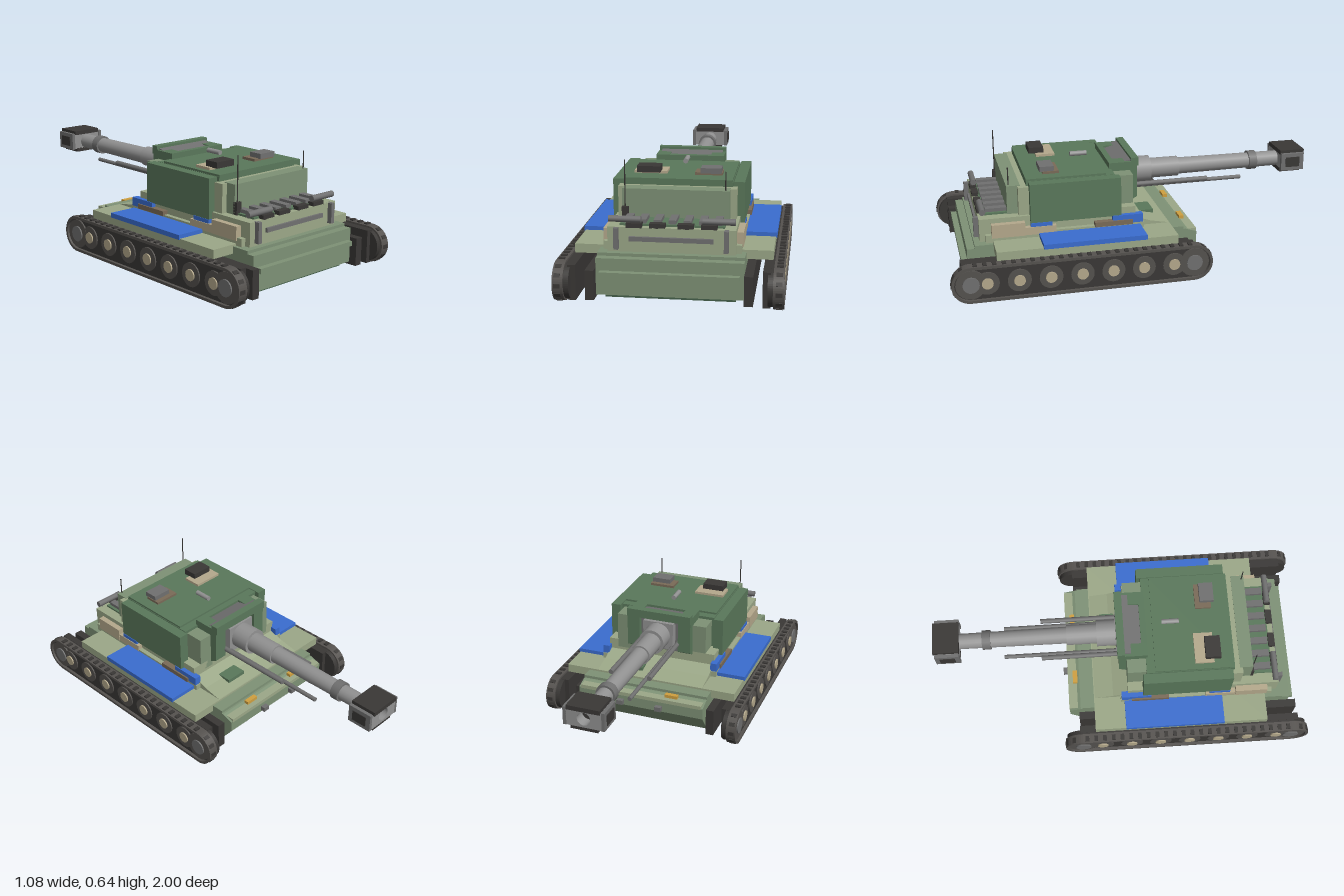
import * as THREE from 'three';

const mat = (color, extra = {}) => new THREE.MeshStandardMaterial({ color, ...extra });
const DARK_GREEN = mat(0x5a785b), GREEN = mat(0x7e9276), LIGHT = mat(0x9ca888), BELLY = mat(0x45604a);
const GREY = mat(0x707070), STEEL = mat(0x929292), BLACK = mat(0x3a3836), RUBBER = mat(0x55524f);
const BLUE = mat(0x3a6dd0), TAN = mat(0xb5a98c), BROWN = mat(0x7a6b58), AMBER = mat(0xd0a040);

export function createModel() {
  const root = new THREE.Group();
  root.name = 'selfPropelledGun';

  const add = (name, geo, m, parent = root) => {
    const mesh = new THREE.Mesh(geo, m);
    mesh.name = name;
    parent.add(mesh);
    return mesh;
  };
  // Box given by its limits on each axis
  const box = (name, m, x0, x1, y0, y1, z0, z1, parent = root) => {
    const b = add(name, new THREE.BoxGeometry(x1 - x0, y1 - y0, z1 - z0), m, parent);
    b.position.set((x0 + x1) / 2, (y0 + y1) / 2, (z0 + z1) / 2);
    return b;
  };
  // The same box on both sides
  const pair = (name, m, x0, x1, ...rest) => {
    box(name, m, x0, x1, ...rest);
    box(name, m, -x1, -x0, ...rest);
  };
  // Cylinder along z
  const rod = (name, m, r, x, y, z0, z1, r2 = r, seg = 20) => {
    const g = new THREE.CylinderGeometry(r, r2, z1 - z0, seg).rotateX(Math.PI / 2);
    const c = add(name, g, m);
    c.position.set(x, y, (z0 + z1) / 2);
    return c;
  };
  // Side profile of [z, y] points, extruded across x
  const slab = (name, m, pts, x0, x1) => {
    const s = new THREE.Shape(pts.map(([z, y]) => new THREE.Vector2(-z, y)));
    const g = new THREE.ExtrudeGeometry(s, { depth: x1 - x0, bevelEnabled: false });
    g.rotateY(Math.PI / 2).translate(x0, 0, 0);
    return add(name, g, m);
  };

  // ---- Hull ----
  slab('hull', GREEN, [[0.9, 0.03], [0.9, 0.21], [-0.24, 0.21], [-0.3, 0.19], [-0.3, 0.13], [-0.22, 0.03]], -0.35, 0.35);
  box('bellyPlate', BELLY, -0.31, 0.31, 0.01, 0.03, -0.18, 0.87);
  box('rearLedge', GREEN, -0.33, 0.33, 0.125, 0.15, 0.88, 0.93);
  box('noseStrip', LIGHT, -0.34, 0.34, 0.185, 0.205, -0.302, -0.245);
  box('hullDeck', GREEN, -0.35, 0.35, 0.2, 0.225, -0.23, 0.86);
  box('fenderDeck', LIGHT, -0.478, 0.478, 0.19, 0.235, -0.165, 0.765);
  pair('bluePanel', BLUE, 0.33, 0.485, 0.23, 0.255, 0, 0.53);
  slab('glacis', LIGHT, [[-0.16, 0.235], [0.02, 0.235], [0.02, 0.285], [-0.06, 0.255]], -0.3, 0.3);
  box('driverHatch', DARK_GREEN, 0.06, 0.175, 0.245, 0.265, -0.11, -0.02);
  pair('headlight', AMBER, 0.13, 0.2, 0.2, 0.222, -0.275, -0.25);
  pair('towHook', GREY, 0.09, 0.125, 0.14, 0.165, -0.325, -0.29);

  // ---- Superstructure ----
  box('superstructure', LIGHT, -0.305, 0.305, 0.21, 0.345, 0.02, 0.83);
  pair('sideStep', LIGHT, 0.3, 0.33, 0.21, 0.265, -0.02, 0.8);
  pair('sideBin', TAN, 0.3, 0.336, 0.25, 0.32, 0.6, 0.77);
  pair('sideBin', TAN, 0.3, 0.332, 0.25, 0.29, 0.44, 0.6);
  pair('sideBox', BROWN, 0.3, 0.338, 0.26, 0.285, 0.04, 0.24);
  pair('blueBin', BLUE, 0.295, 0.33, 0.265, 0.31, -0.015, 0.145);
  pair('blueBin', BLUE, 0.295, 0.328, 0.29, 0.31, 0.46, 0.57);

  // ---- Rear plate, engine grille and stowage ----
  box('rearBar', GREY, -0.2, 0.2, 0.28, 0.302, 0.825, 0.842);
  pair('rearPost', GREY, 0.25, 0.272, 0.24, 0.345, 0.82, 0.855);
  box('grilleBase', DARK_GREEN, -0.25, 0.25, 0.345, 0.355, 0.67, 0.8);
  for (let i = 0; i < 7; i++) {
    const x = -0.216 + i * 0.072;
    box('grilleSlat', GREY, x - 0.018, x + 0.018, 0.35, 0.373, 0.67, 0.79);
  }
  for (const x of [-0.178, -0.067, 0.067, 0.178])
    box('rearBlock', BLACK, x - 0.038, x + 0.038, 0.342, 0.365, 0.795, 0.83);
  for (const s of [-1, 1]) {
    const pipe = add('exhaustPipe', new THREE.CylinderGeometry(0.016, 0.016, 0.155, 12).rotateZ(Math.PI / 2), GREY);
    pipe.position.set(s * 0.224, 0.38, 0.81);
  }
  box('antennaBase', BLACK, -0.26, -0.228, 0.345, 0.408, 0.67, 0.695);

  // ---- Turret ----
  box('turretBody', DARK_GREEN, -0.268, 0.268, 0.3, 0.515, 0.12, 0.58);
  pair('sideArmor', DARK_GREEN, 0.272, 0.325, 0.308, 0.515, 0.1, 0.57);
  box('rearFrame', LIGHT, -0.29, 0.29, 0.265, 0.492, 0.56, 0.625);
  box('rearBustle', GREEN, -0.26, 0.26, 0.34, 0.495, 0.61, 0.68);
  box('roofPlate', DARK_GREEN, -0.265, 0.265, 0.51, 0.525, 0.165, 0.58);
  pair('frontShoulder', GREEN, 0.17, 0.255, 0.3, 0.5, 0.02, 0.17);
  for (const s of [0.11, -0.18])
    slab('frontCheek', DARK_GREEN, [[-0.02, 0.35], [0.04, 0.315], [0.13, 0.315], [0.13, 0.545], [-0.02, 0.545]], s, s + 0.07);
  box('frontCap', DARK_GREEN, -0.18, 0.18, 0.52, 0.565, -0.028, 0.012);
  box('capRear', DARK_GREEN, -0.18, 0.18, 0.515, 0.545, 0.1, 0.13);
  slab('capPanel', GREY, [[0, 0.5], [0.11, 0.5], [0.11, 0.53], [0, 0.555]], -0.165, 0.165);
  box('mantletPlate', GREY, -0.115, 0.115, 0.335, 0.525, 0.01, 0.13);
  box('mantletBlock', STEEL, -0.085, 0.085, 0.36, 0.51, -0.03, 0.02);

  // ---- Roof fittings ----
  box('hatchBase', TAN, -0.235, -0.07, 0.52, 0.538, 0.375, 0.475);
  box('hatchCover', BLACK, -0.217, -0.1, 0.536, 0.568, 0.43, 0.51);
  box('sightBase', BROWN, 0.07, 0.207, 0.52, 0.538, 0.4, 0.485);
  box('sightHead', GREY, 0.1, 0.203, 0.536, 0.563, 0.425, 0.5);
  rod('roofPeriscope', STEEL, 0.013, 0, 0.553, 0.215, 0.305, 0.013, 12);
  for (const [x, z, y0, y1] of [[-0.245, 0.683, 0.4, 0.637], [0.24, 0.667, 0.48, 0.587]]) {
    const a = add('antenna', new THREE.CylinderGeometry(0.003, 0.003, y1 - y0, 6), BLACK);
    a.position.set(x, (y0 + y1) / 2, z);
  }

  // ---- Gun ----
  const gy = 0.437;
  rod('gunSleeve', STEEL, 0.07, 0, gy, -0.13, 0);
  rod('gunJacket', STEEL, 0.054, 0, gy, -0.29, -0.12);
  rod('gunBarrel', STEEL, 0.045, 0, gy, -0.87, -0.28, 0.041);
  rod('barrelCollar', GREY, 0.052, 0, gy, -0.74, -0.695);
  for (const s of [-1, 1]) {
    rod('recoilCylinder', GREY, 0.011, s * 0.08, 0.373, -0.63, 0.02, 0.011, 10);
    rod('recoilCylinder', GREY, 0.013, s * 0.105, 0.39, -0.43, 0.02, 0.013, 10);
  }
  // Muzzle brake with an open bore
  const face = new THREE.Shape([[-0.09, -0.045], [0.09, -0.045], [0.09, 0.045], [-0.09, 0.045]].map(p => new THREE.Vector2(...p)));
  face.holes.push(new THREE.Path().absarc(0, 0, 0.034, 0, Math.PI * 2, true));
  const brake = add('muzzleBrake', new THREE.ExtrudeGeometry(face, { depth: 0.125, bevelEnabled: false, curveSegments: 16 }), STEEL);
  brake.position.set(0, gy + 0.005, -0.99);
  rod('bore', BLACK, 0.036, 0, gy + 0.005, -0.93, -0.87);
  box('muzzleTop', BLACK, -0.085, 0.085, 0.482, 0.505, -0.998, -0.86);
  box('muzzleBottom', BLACK, -0.07, 0.07, 0.378, 0.4, -0.985, -0.865);
  pair('muzzleSide', GREY, 0.088, 0.106, 0.395, 0.49, -0.99, -0.86);
  pair('muzzleVent', BLACK, 0.1, 0.11, 0.415, 0.47, -0.965, -0.885);

  // ---- Tracks ----
  const zA = -0.237, zB = 0.902, cy = 0.098;
  const stadium = (r, Type = THREE.Shape) => {
    const p = new Type();
    p.absarc(zB, 0, r, -Math.PI / 2, Math.PI / 2, false);
    p.absarc(zA, 0, r, Math.PI / 2, Math.PI * 1.5, false);
    p.closePath();
    return p;
  };
  // Stadium slab (or ring) between two x limits
  const loop = (name, m, r, x0, x1, parent, inner) => {
    const s = stadium(r);
    if (inner) s.holes.push(stadium(inner, THREE.Path));
    const g = new THREE.ExtrudeGeometry(s, { depth: x1 - x0, bevelEnabled: false, curveSegments: 14 });
    g.rotateY(-Math.PI / 2).translate(x1, cy, 0);
    return add(name, g, m, parent);
  };
  const disc = (name, m, r, x0, x1, z, parent) => {
    const g = new THREE.CylinderGeometry(r, r, x1 - x0, 20).rotateZ(Math.PI / 2);
    add(name, g, m, parent).position.set((x0 + x1) / 2, cy, z);
  };
  for (const s of [-1, 1]) {
    const track = new THREE.Group();
    track.name = s > 0 ? 'leftTrack' : 'rightTrack';
    root.add(track);
    const o = s > 0 ? 0 : 1; // offsets mirrored through helper below
    const X = (a, b) => (o ? [-b, -a] : [a, b]);
    loop('trackBelt', RUBBER, 0.096, ...X(0.487, 0.538), track, 0.082);
    loop('trackCore', BLACK, 0.086, ...X(0.462, 0.522), track);
    box('innerGuide', BLACK, ...X(0.438, 0.475), 0.012, 0.185, -0.25, 0.94, track);
    box('innerSkirt', BLACK, ...X(0.352, 0.394), 0.015, 0.16, -0.25, 0.94, track);
    for (let i = 0; i < 7; i++) {
      const z = -0.13 + i * 0.1585;
      disc('roadWheel', RUBBER, 0.06, ...X(0.515, 0.529), z, track);
      disc('wheelHub', TAN, 0.029, ...X(0.52, 0.536), z, track);
    }
    for (const z of [zA, zB]) {
      disc('endWheel', RUBBER, 0.077, ...X(0.515, 0.53), z, track);
      disc('endHub', GREY, 0.042, ...X(0.52, 0.537), z, track);
    }
    // Cleats along the upper run
    for (let i = 0; i < 24; i++) {
      const z = zA + (i + 0.5) * (zB - zA) / 24;
      box('trackCleat', BLACK, ...X(0.5, 0.53), 0.19, 0.201, z - 0.01, z + 0.01, track);
    }
    // Cleats around both ends
    for (const [zc, dir] of [[zA, -1], [zB, 1]]) for (let i = 1; i < 6; i++) {
      const a = -Math.PI / 2 + i * Math.PI / 6;
      const c = box('trackCleat', BLACK, ...X(0.5, 0.53), -0.01, 0.01, -0.005, 0.005, track);
      c.position.set(s * 0.515, cy + Math.sin(a) * 0.0935, zc + dir * Math.cos(a) * 0.0935);
      c.rotation.x = -dir * a;
    }
  }
  return root;
}
